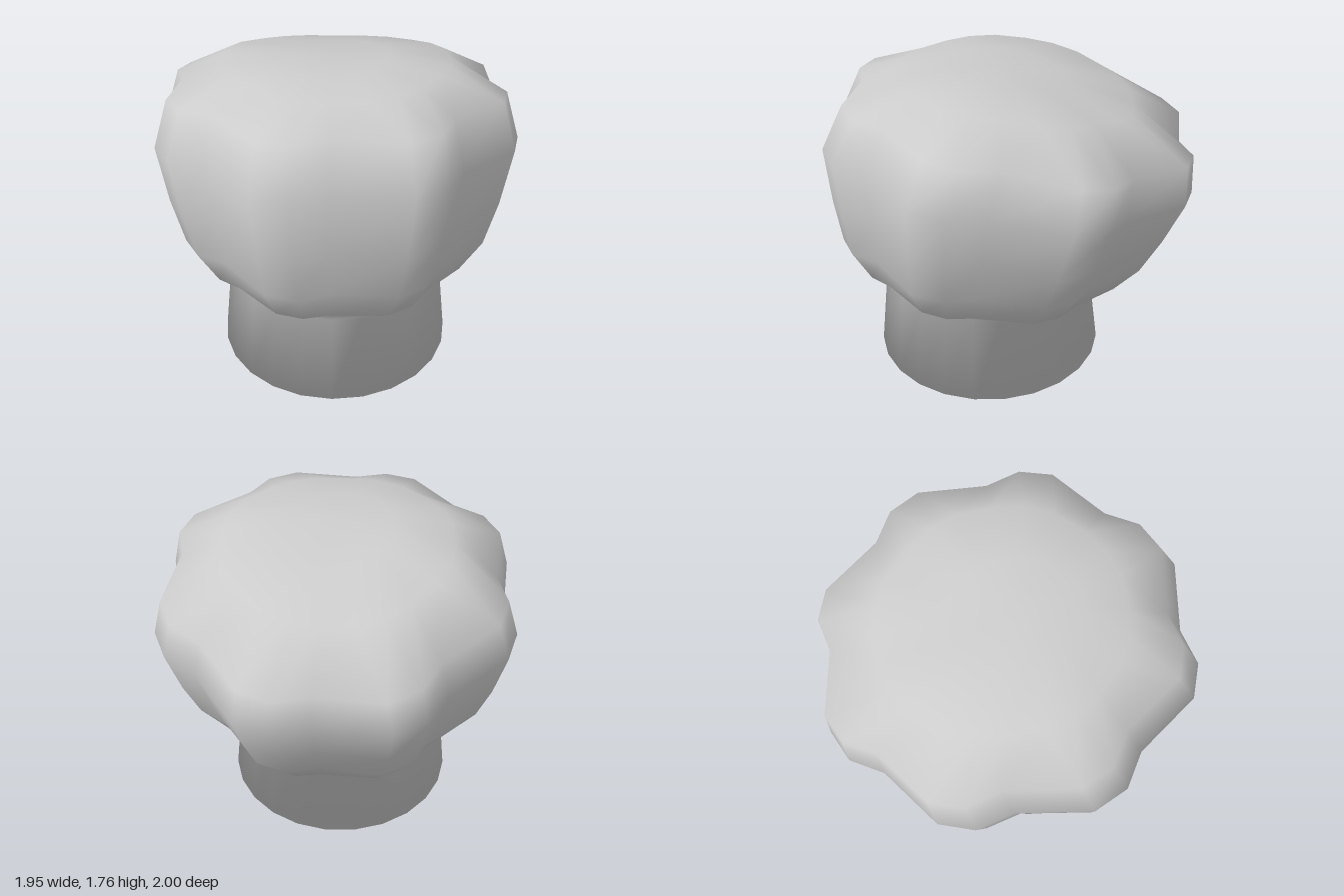
import * as THREE from 'three';

const LOBES = 8, SIDES = LOBES * 3;
// each lobe: a valley followed by two outer points (degrees within the lobe, radius)
const LOBE = [[0, 0.93], [11, 1.02], [22, 1.03]];

// rings: half width, front z, back z, then y at front, middle and back, pleat depth
const LINING = [
  [0.545, 0.675, -0.405, 0.5, 0.5, 0.5, 0],
  [0.605, 0.735, -0.475, 0, 0, 0, 0],
];
const BAND = [
  [0.67, 0.8, -0.54, 0, 0, 0, 0],
  [0.61, 0.74, -0.47, 0.52, 0.52, 0.52, 0],
];
const PUFF = [
  [0.74, 0.86, -0.66, 0.62, 0.6, 0.55, 0.7],
  [0.85, 0.95, -0.79, 0.81, 0.79, 0.71, 1],
  [0.92, 0.98, -0.9, 1.07, 1.03, 0.92, 1],
  [0.975, 1, -1, 1.4, 1.32, 1.15, 1],
  [0.905, 0.88, -0.99, 1.64, 1.55, 1.36, 1],
  [0.62, 0.62, -0.67, 1.725, 1.705, 1.57, 0.15],
  [0.29, 0.38, -0.3, 1.76, 1.75, 1.685, 0],
];

function ringPoints([sx, zf, zb, yf, ym, yb, pleat]) {
  const points = [];
  for (let i = 0; i < SIDES; i++) {
    const [offset, radius] = LOBE[i % 3];
    // plain rings are evenly spaced, pleated ones follow the lobes
    const even = (i * 360) / SIDES;
    const bent = Math.floor(i / 3) * 45 + offset;
    const a = THREE.MathUtils.degToRad(THREE.MathUtils.lerp(even, bent, Math.min(1, pleat * 1.4)));
    const r = THREE.MathUtils.lerp(1, radius, pleat);
    // rings droop towards the back along a gentle curve
    const s = Math.sin(a);
    points.push(
      Math.cos(a) * r * sx,
      ym + (s * (yf - yb)) / 2 + s * s * ((yf + yb) / 2 - ym),
      (zf + zb) / 2 + (s * r * (zf - zb)) / 2
    );
  }
  return points;
}

// averages the face directions at each corner, whatever the face size
function softNormals(position, index) {
  const corner = (i) => new THREE.Vector3().fromArray(position, i * 3);
  const normals = new Array(position.length).fill(0);
  const n = new THREE.Vector3();
  for (let f = 0; f < index.length; f += 3) {
    const face = index.slice(f, f + 3);
    THREE.Triangle.getNormal(...face.map(corner), n);
    for (const i of face) n.toArray().forEach((v, k) => (normals[i * 3 + k] += v));
  }
  return normals;
}

// smooth closed skin through the rings, from one end point to the other
function skin(rings, start, end) {
  const position = rings.flatMap(ringPoints), index = [];
  const startIndex = rings.length * SIDES, endIndex = startIndex + 1;
  const last = (rings.length - 1) * SIDES;
  for (let i = 0; i < SIDES; i++) {
    const n = (i + 1) % SIDES;
    index.push(startIndex, i, n);
    for (let row = 0; row < last; row += SIDES) {
      const a = row + i, b = row + n;
      index.push(a, a + SIDES, b, b, a + SIDES, b + SIDES);
    }
    index.push(last + i, endIndex, last + n);
  }
  position.push(...start, ...end);
  const geometry = new THREE.BufferGeometry();
  geometry.setAttribute('position', new THREE.Float32BufferAttribute(position, 3));
  geometry.setAttribute('normal', new THREE.Float32BufferAttribute(softNormals(position, index), 3));
  geometry.setIndex(index);
  geometry.normalizeNormals();
  return geometry;
}

export function createModel() {
  const model = new THREE.Group();
  model.name = 'chefHat';
  const cloth = new THREE.MeshStandardMaterial({ color: 0xcccccc });
  cloth.name = 'pale cloth';

  // one continuous cloth: inner ceiling, lining, rim, band, then the pleated puff
  const hat = new THREE.Mesh(
    skin([...LINING, ...BAND, ...PUFF], [0, 0.5, 0.135], [0, 1.745, 0.06]),
    cloth
  );
  hat.name = 'bandAndPuff';
  model.add(hat);
  return model;
}
